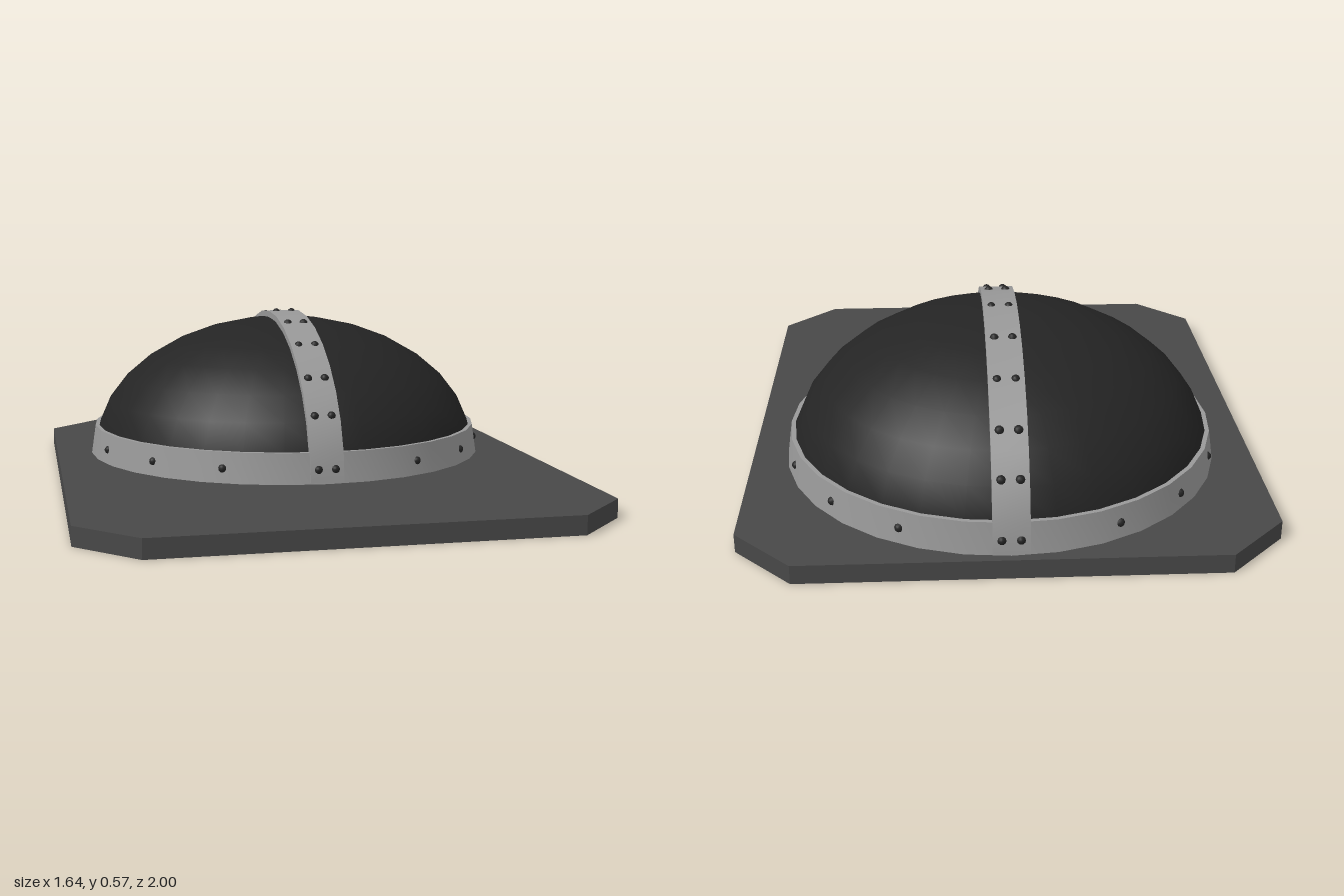
import * as THREE from 'three';
import { toCreasedNormals } from 'three/addons/utils/BufferGeometryUtils.js';

const CX = 0.005, CZ = -0.27;          // dome axis
const BASE = 0.06, SPRING = 0.065;     // plate top, dome spring line

const paint = (color, side = THREE.FrontSide) => new THREE.MeshStandardMaterial({ color, side });

function part(name, geometry, material) {
  const mesh = new THREE.Mesh(geometry, material);
  mesh.name = name;
  return mesh;
}

export function createModel() {
  const model = new THREE.Group();
  model.name = 'domedWindow';
  const plateMat = paint(0x484848);
  const domeMat = paint(0x242424, THREE.DoubleSide);
  const metalMat = paint(0x989898);
  const rivetMat = paint(0x242424);

  // Base plate: chamfered rectangle with a round opening
  const outline = new THREE.Shape([
    [-0.64, -1], [0.64, -1], [0.82, -0.82], [0.82, 0.82],
    [0.64, 1], [-0.64, 1], [-0.82, 0.82], [-0.82, -0.82],
  ].map(([x, y]) => new THREE.Vector2(x, y)));
  outline.holes.push(new THREE.Path().absarc(CX, -CZ, 0.685, 0, Math.PI * 2, true));
  const plate = new THREE.ExtrudeGeometry(outline, { depth: BASE, bevelEnabled: false, curveSegments: 32 });
  plate.rotateX(-Math.PI / 2);
  model.add(part('basePlate', toCreasedNormals(plate, 0.5), plateMat));

  const cover = new THREE.Group();
  cover.name = 'cover';
  cover.position.set(CX, 0, CZ);
  model.add(cover);

  // Thin flattened dome, open underneath
  const dome = new THREE.SphereGeometry(0.69, 32, 8, 0, Math.PI * 2, 0, Math.PI / 2);
  dome.scale(1, 0.475 / 0.69, 1).translate(0, SPRING, 0);
  cover.add(part('dome', dome, domeMat));

  // Tapered ring around the foot of the dome
  const ringProfile = [[0.68, BASE], [0.705, BASE], [0.69, 0.16], [0.663, 0.16], [0.68, BASE]]
    .map(([r, y]) => new THREE.Vector2(r, y));
  cover.add(part('baseBand', toCreasedNormals(new THREE.LatheGeometry(ringProfile, 32), 0.5), metalMat));

  // Strap over the dome, front to back
  const arch = [];
  const steps = 16;
  for (let i = 0; i <= steps; i++) {
    const a = Math.PI * i / steps;
    arch.push(new THREE.Vector2(0.705 * Math.cos(a), SPRING + 0.495 * Math.sin(a)));
  }
  for (let i = steps; i >= 0; i--) {
    const a = Math.PI * i / steps;
    arch.push(new THREE.Vector2(0.675 * Math.cos(a), SPRING + 0.46 * Math.sin(a)));
  }
  const strap = new THREE.ExtrudeGeometry(new THREE.Shape(arch), { depth: 0.11, bevelEnabled: false });
  strap.translate(0, 0, -0.055).rotateY(Math.PI / 2);
  cover.add(part('strap', toCreasedNormals(strap, 0.5), metalMat));

  // Rivets pass through the metal and show on both faces
  const rivets = new THREE.Group();
  rivets.name = 'rivets';
  cover.add(rivets);
  const rivetGeo = new THREE.SphereGeometry(0.017, 10, 8).scale(1, 1.4, 1);
  const up = new THREE.Vector3(0, 1, 0);
  const addRivet = (name, x, y, z, normal) => {
    const rivet = part(name, rivetGeo, rivetMat);
    rivet.quaternion.setFromUnitVectors(up, normal.normalize());
    rivet.position.set(x, y, z).addScaledVector(normal, -0.015);
    rivets.add(rivet);
  };

  // Pairs along the strap
  for (const x of [-0.028, 0.028]) {
    for (const d of [0, 0.21, 0.39, 0.54, 0.64, 0.7]) {
      const h = 0.495 * Math.sqrt(1 - (d / 0.705) ** 2);
      for (const s of d ? [1, -1] : [1]) {
        const normal = new THREE.Vector3(0, h / 0.495 ** 2, s * d / 0.705 ** 2);
        addRivet('strapRivet', x, d === 0.7 ? 0.107 : SPRING + h, s * d, normal);
      }
    }
  }

  // Singles around the band, mirrored left and right
  for (const deg of [28, 50, 72.5, 107.5, 130, 152]) {
    const a = THREE.MathUtils.degToRad(deg);
    for (const s of [1, -1]) {
      const x = s * Math.sin(a), z = Math.cos(a);
      addRivet('bandRivet', 0.696 * x, 0.107, 0.696 * z, new THREE.Vector3(x, 0.15, z));
    }
  }
  return model;
}
